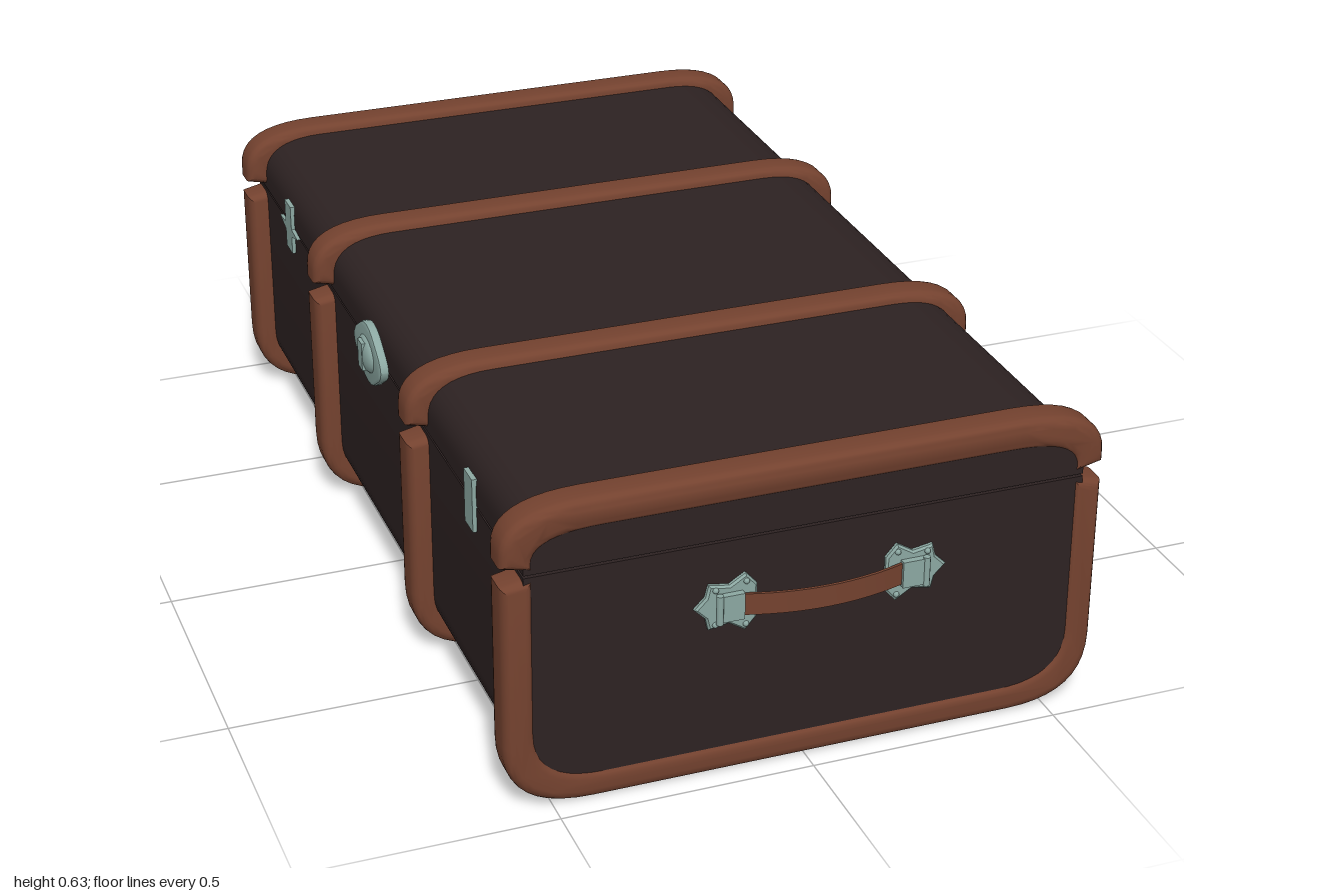
import * as THREE from 'three';
import { toCreasedNormals } from 'three/addons/utils/BufferGeometryUtils.js';

export function createModel() {
  const trunk = new THREE.Group();
  trunk.name = 'trunk';
  const mat = (name, color) => Object.assign(new THREE.MeshStandardMaterial({ color }), { name });
  const leather = mat('dark leather', 0x2d2222);
  const wood = mat('brown trim', 0x74422f);
  const metal = mat('pale metal', 0x8ca8a2);

  const add = (parent, name, geometry, material, x = 0, y = 0, z = 0) => {
    const mesh = new THREE.Mesh(geometry, material);
    mesh.name = name;
    mesh.position.set(x, y, z);
    parent.add(mesh);
    return mesh;
  };

  // Extrusion centred on z, with bevelled edges kept inside the outline
  const slab = (points, depth, bevel, segments = 3) => {
    const g = new THREE.ExtrudeGeometry(new THREE.Shape(points), {
      depth: depth - 2 * bevel, bevelEnabled: bevel > 0, bevelThickness: bevel,
      bevelSize: bevel, bevelOffset: -bevel, bevelSegments: segments,
    });
    g.translate(0, 0, -(depth - 2 * bevel) / 2);
    return toCreasedNormals(g, 0.6);
  };
  const pts = (list) => list.map(([x, y]) => new THREE.Vector2(x, y));

  // Open arch from one seam edge round the far side to the other
  const arch = (w, seam, far, rx, ry) => {
    const s = Math.sign(far - seam);
    const p = new THREE.Path();
    p.moveTo(-w, seam);
    p.lineTo(-w, far - s * ry);
    p.quadraticCurveTo(-w, far, -w + rx, far);
    p.lineTo(w - rx, far);
    p.quadraticCurveTo(w, far, w, far - s * ry);
    p.lineTo(w, seam);
    return p.getPoints(10);
  };

  // Body and lid shells, separated by a narrow seam
  add(trunk, 'body', slab(arch(0.55, 0.495, 0.042, 0.13, 0.1), 1.912, 0), leather);
  add(trunk, 'lid', slab(arch(0.55, 0.5, 0.614, 0.13, 0.08), 1.912, 0), leather);

  // Rounded bands, each split at the seam with an opened notch
  const band = (seam, far, ry) => {
    const s = Math.sign(far - seam);
    const outer = arch(0.592, seam + s * 0.014, far, 0.17, ry);
    const inner = arch(0.53, seam, far - s * 0.062, 0.13, Math.max(0.05, ry - 0.04)).reverse();
    return slab([...outer, ...inner], 0.078, 0.02, 4);
  };
  const lowerBand = band(0.492, 0.003, 0.14);
  const upperBand = band(0.503, 0.632, 0.09);
  for (const z of [-0.922, -0.342, 0.342, 0.922]) {
    add(trunk, 'lowerBand', lowerBand, wood, 0, 0, z);
    add(trunk, 'upperBand', upperBand, wood, 0, 0, z);
  }

  // Carrying handles on both ends: bowed strap between two ornate brackets
  const bracketShape = slab(pts([
    [0.128, -0.035], [0.15, -0.06], [0.182, -0.04], [0.222, -0.047], [0.228, -0.022], [0.25, 0],
    [0.228, 0.022], [0.222, 0.047], [0.182, 0.04], [0.15, 0.06], [0.128, 0.035],
  ]), 0.014, 0.004, 1);
  const arc = (z0, z1) => Array.from({ length: 17 }, (_, i) => {
    const t = i / 8 - 1;
    return new THREE.Vector2(t * 0.17, z0 + (z1 - z0) * (1 - t * t));
  });
  const strap = slab([...arc(0.97, 1.0), ...arc(0.964, 0.994).reverse()], 0.044, 0);
  strap.rotateX(Math.PI / 2);
  const rivet = new THREE.SphereGeometry(0.006, 10, 6);
  for (const [name, turn] of [['frontHandle', 0], ['backHandle', Math.PI]]) {
    const handle = new THREE.Group();
    handle.name = name;
    handle.position.set(0.02, 0.368, 0);
    handle.rotation.y = turn;
    trunk.add(handle);
    add(handle, 'strap', strap, wood);
    for (const side of [-1, 1]) {
      const bracket = new THREE.Group();
      bracket.name = 'bracket';
      bracket.rotation.z = side < 0 ? Math.PI : 0;
      handle.add(bracket);
      add(bracket, 'bracketPlate', bracketShape, metal, 0, 0, 0.961);
      add(bracket, 'strapLoop', new THREE.BoxGeometry(0.05, 0.054, 0.016), metal, 0.182, 0, 0.973);
      add(bracket, 'loopPin', new THREE.CylinderGeometry(0.007, 0.007, 0.06, 10), metal, 0.205, 0, 0.978);
      for (const [x, y] of [[0.15, 0.045], [0.15, -0.045], [0.21, 0.036], [0.21, -0.036]])
        add(bracket, 'rivet', rivet, metal, x, y, 0.968);
    }
  }

  // Side fittings are built facing +z, then turned to face +x or -x
  const fitting = (name, dir, z) => {
    const g = new THREE.Group();
    g.name = name;
    g.position.set(dir * 0.55, 0.5, z);
    g.rotation.y = dir * Math.PI / 2;
    trunk.add(g);
    return g;
  };
  const leaf = (len) => slab(pts([[-len / 2, 0.002], [-len / 5, -0.01], [len / 5, -0.01],
    [len / 2, 0.002], [0, 0.008]]), 0.008, 0);

  // Hinges along the left side, two with slender leaves
  for (const [z, len, offset] of [[0.635, 0.27, -0.03], [0.008, 0.37, -0.05], [-0.63, 0, 0]]) {
    const hinge = fitting('hinge', 1, z);
    for (const s of [-1, 1]) {
      add(hinge, 'hingeLeaf', new THREE.BoxGeometry(0.1, 0.03, 0.012), metal, 0, s * 0.02 + 0.003, 0.004);
      for (const x of [-0.035, 0.035]) add(hinge, 'rivet', rivet, metal, x, s * 0.024 + 0.003, 0.009);
    }
    const knuckle = new THREE.CylinderGeometry(0.009, 0.009, 0.09, 12);
    knuckle.rotateZ(Math.PI / 2);
    add(hinge, 'hingeKnuckle', knuckle, metal, 0, 0.002, 0.007);
    if (len) add(hinge, 'seamLeaf', leaf(len), metal, -offset, -0.01, 0.002);
  }

  // Catches on the right side
  for (const z of [-0.66, 0.66]) {
    const catchGroup = fitting('catch', -1, z);
    add(catchGroup, 'catchPlate', new THREE.BoxGeometry(0.05, 0.11, 0.01), metal, 0, 0, 0.003);
    if (z < 0) add(catchGroup, 'seamLeaf', leaf(0.15), metal, 0, -0.004, 0.004);
  }

  // Central lock: lobed plate with a raised hasp
  const lock = fitting('lock', -1, 0.008);
  const lobes = Array.from({ length: 32 }, (_, i) => {
    const a = i / 32 * Math.PI * 2;
    const r = 1 + 0.07 * Math.cos(4 * a);
    return new THREE.Vector2(Math.cos(a) * r * 0.094, Math.sin(a) * r * 0.062);
  });
  add(lock, 'lockPlate', slab(lobes, 0.02, 0.006, 2), metal, 0, 0, 0.008);
  const boss = add(lock, 'lockBoss', new THREE.SphereGeometry(1, 20, 12), metal, 0, 0, 0.014);
  boss.scale.set(0.055, 0.038, 0.018);
  add(lock, 'hasp', new THREE.BoxGeometry(0.03, 0.06, 0.012), metal, 0, 0, 0.026);

  return trunk;
}
